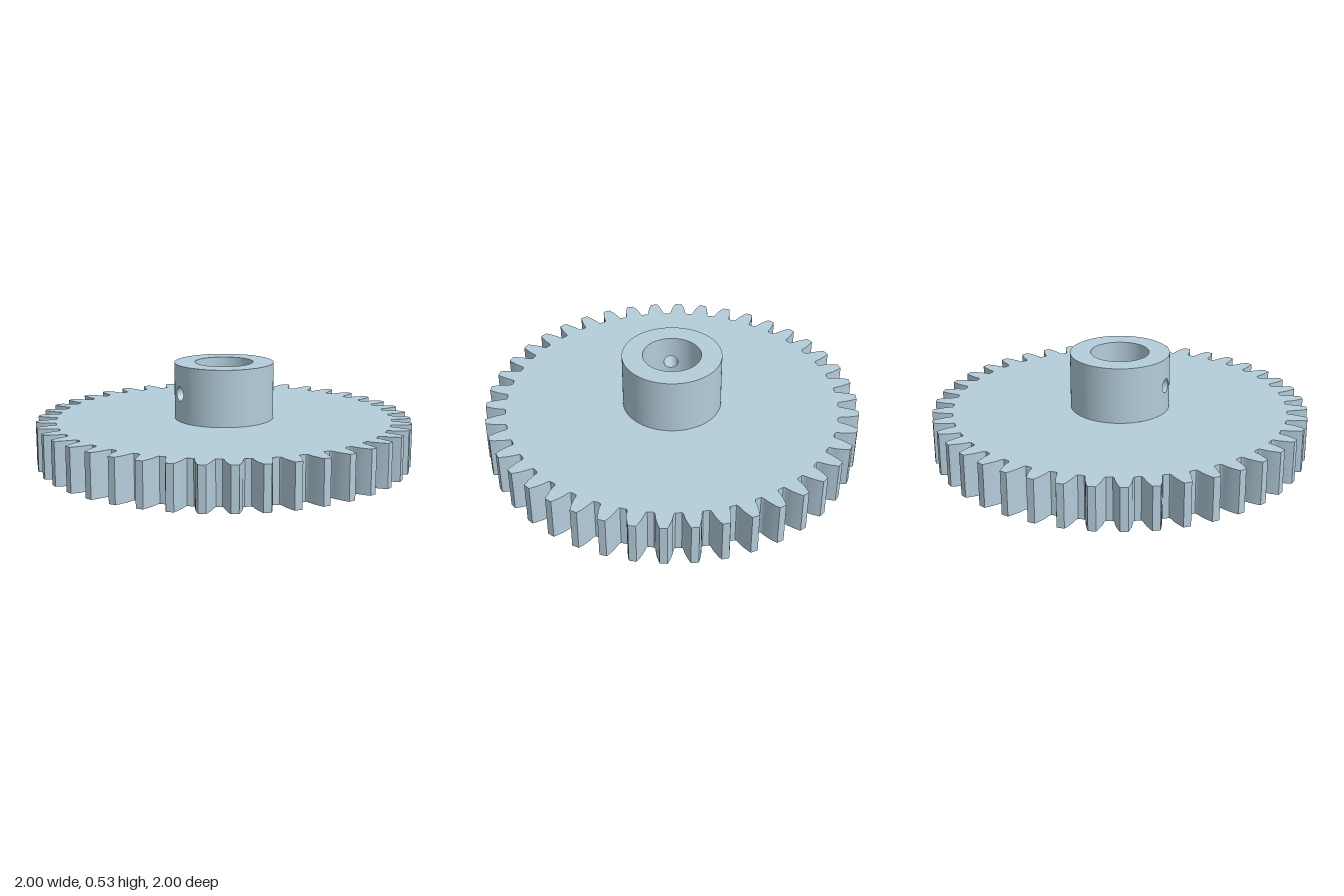
import * as THREE from 'three';
import { toCreasedNormals, mergeGeometries } from 'three/addons/utils/BufferGeometryUtils.js';
import { ParametricGeometry } from 'three/addons/geometries/ParametricGeometry.js';

const TEETH = 42, GEAR_TOP = 0.23, HUB_TOP = 0.53;
const BORE_R = 0.155, HUB_R = 0.264;
const GROOVE_DEPTH = 0.03, GROOVE_OUT = 0.752, GROOVE_IN = 0.702;
const HOLE_R = 0.038, HOLE_Y = (GEAR_TOP + HUB_TOP) / 2;
const SEG = 128, PATCH = 0.55; // PATCH: half angle of the hub area around the side hole

// ring of n points in the x-z plane
function ring(r, n, start = 0) {
  return Array.from({ length: n }, (_, i) => {
    const a = start + (i / n) * Math.PI * 2;
    return new THREE.Vector2(r * Math.cos(a), r * Math.sin(a));
  });
}

// gear outline: [radius, half thickness] up one flank, mirrored down the other
function gearOutline() {
  const flank = [[0.893, 0.051], [0.897, 0.047], [0.906, 0.044], [0.93, 0.041],
    [0.955, 0.035], [0.98, 0.027], [1, 0.019]];
  const tooth = [...flank.map(([r, w]) => [r, -w / r]),
    ...flank.map(([r, w]) => [r, w / r]).reverse()];
  const pts = [];
  for (let i = 0; i < TEETH; i++) {
    const mid = Math.PI / 2 + (i / TEETH) * Math.PI * 2;
    for (const [r, a] of tooth) {
      pts.push(new THREE.Vector2(r * Math.cos(mid + a), r * Math.sin(mid + a)));
    }
  }
  return pts;
}

// flat face at height y with an optional hole
function cap(outline, hole, y, up) {
  const shape = new THREE.Shape(outline);
  shape.holes.push(new THREE.Path(hole));
  return new THREE.ShapeGeometry(shape).rotateX(up ? -Math.PI / 2 : Math.PI / 2).translate(0, y, 0);
}

// upright wall along a closed outline, facing outward or inward
function wall(outline, y0, y1, inward = false) {
  const pts = inward ? [...outline].reverse() : outline;
  const pos = [];
  pts.forEach((p, i) => {
    const q = pts[(i + 1) % pts.length];
    pos.push(p.x, y0, p.y, p.x, y1, p.y, q.x, y0, q.y);
    pos.push(q.x, y0, q.y, p.x, y1, p.y, q.x, y1, q.y);
  });
  const g = new THREE.BufferGeometry();
  g.setAttribute('position', new THREE.Float32BufferAttribute(pos, 3));
  return toCreasedNormals(g, 0.55);
}

// hub wall of radius r, leaving out the patch on the -x side
function hubWall(r, inward) {
  return new ParametricGeometry((u, v, t) => {
    const a = Math.PI + PATCH + (inward ? 1 - u : u) * 2 * (Math.PI - PATCH);
    t.set(r * Math.cos(a), HUB_TOP + (GEAR_TOP - HUB_TOP) * v, r * Math.sin(a));
  }, SEG, 1);
}

// curved patch on the -x side, running from the round hole to a rectangular border
function holePatch(r, inward) {
  return new ParametricGeometry((u, v, t) => {
    const phi = (inward ? 1 : -1) * u * Math.PI * 2;
    const c = Math.cos(phi), s = Math.sin(phi), k = 1 / Math.max(Math.abs(c), Math.abs(s));
    const a = THREE.MathUtils.lerp(Math.asin(HOLE_R * c / r), PATCH * c * k, v);
    const y = THREE.MathUtils.lerp(HOLE_R * s, (HUB_TOP - GEAR_TOP) / 2 * s * k, v);
    t.set(-r * Math.cos(a), HOLE_Y + y, r * Math.sin(a));
  }, 64, 10);
}

// lining of the side hole, from the outer hub wall to the bore
function holeLining() {
  return new ParametricGeometry((u, v, t) => {
    const phi = u * Math.PI * 2, z = HOLE_R * Math.cos(phi);
    const outer = Math.sqrt(HUB_R ** 2 - z * z), inner = Math.sqrt(BORE_R ** 2 - z * z);
    t.set(-THREE.MathUtils.lerp(outer, inner, v), HOLE_Y + HOLE_R * Math.sin(phi), z);
  }, 64, 1);
}

export function createModel() {
  const group = new THREE.Group();
  group.name = 'spurGear';
  const material = new THREE.MeshStandardMaterial({ color: 0xb4cddb });
  const add = (name, ...parts) => {
    const flat = parts.map((p) => (p.index ? p.toNonIndexed() : p));
    flat.forEach((p) => p.deleteAttribute('uv'));
    const mesh = new THREE.Mesh(mergeGeometries(flat), material);
    mesh.name = name;
    group.add(mesh);
  };

  const gear = gearOutline();
  const bore = ring(BORE_R, SEG), hub = ring(HUB_R, SEG);
  const squareOut = ring(GROOVE_OUT, 4, Math.PI / 6);
  const squareIn = ring(GROOVE_IN, 4, Math.PI / 6);

  // toothed disc
  add('toothedRim', wall(gear, 0, GEAR_TOP));
  add('discTop', cap(gear, hub, GEAR_TOP, true));
  add('discBottom', cap(gear, squareOut, 0, false), cap(squareIn, bore, 0, false));

  // square groove cut into the underside
  add('squareGroove',
    wall(squareOut, 0, GROOVE_DEPTH, true),
    wall(squareIn, 0, GROOVE_DEPTH),
    cap(squareOut, squareIn, GROOVE_DEPTH, false));

  // hub with a side screw hole
  add('hub', hubWall(HUB_R, false), holePatch(HUB_R, false), cap(hub, bore, HUB_TOP, true));
  add('screwHole', holeLining());

  // shaft bore through disc and hub
  add('shaftBore', wall(bore, 0, GEAR_TOP, true), hubWall(BORE_R, true), holePatch(BORE_R, true));

  return group;
}
